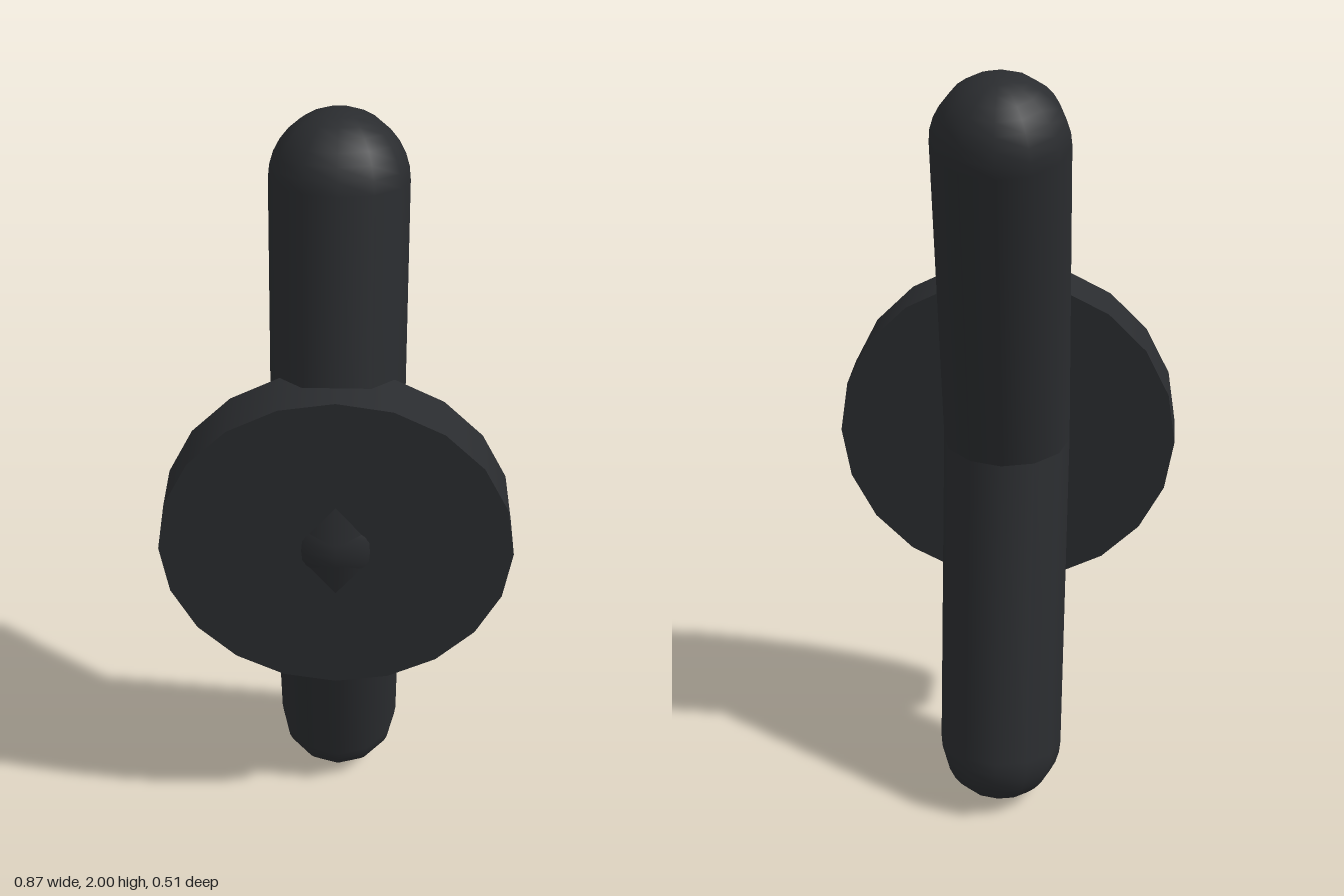
import * as THREE from 'three';

export function createModel() {
  const group = new THREE.Group();
  const material = new THREE.MeshStandardMaterial({ color: 0x2a2c2f });
  const radius = 0.163;
  const bend = new THREE.Vector3(0, 1, 0.089);

  // Two round-ended arms meeting at the middle bend and leaning back
  for (const side of [1, -1]) {
    const tip = new THREE.Vector3(0, 1 + side * 0.837, -0.091);
    const axis = tip.clone().sub(bend);
    const arm = new THREE.Mesh(new THREE.CapsuleGeometry(radius, axis.length(), 8, 12), material);
    arm.name = side > 0 ? 'upperArm' : 'lowerArm';
    arm.position.copy(bend).add(tip).multiplyScalar(0.5);
    arm.rotation.x = Math.atan2(axis.z * side, axis.y * side);
    group.add(arm);
  }

  // Flat round plate across the front of the bend
  const plate = new THREE.Mesh(new THREE.CylinderGeometry(0.433, 0.433, 0.138, 20), material);
  plate.name = 'frontPlate';
  plate.rotation.x = Math.PI / 2;
  plate.position.set(0, 1, 0.158);
  group.add(plate);

  return group;
}
